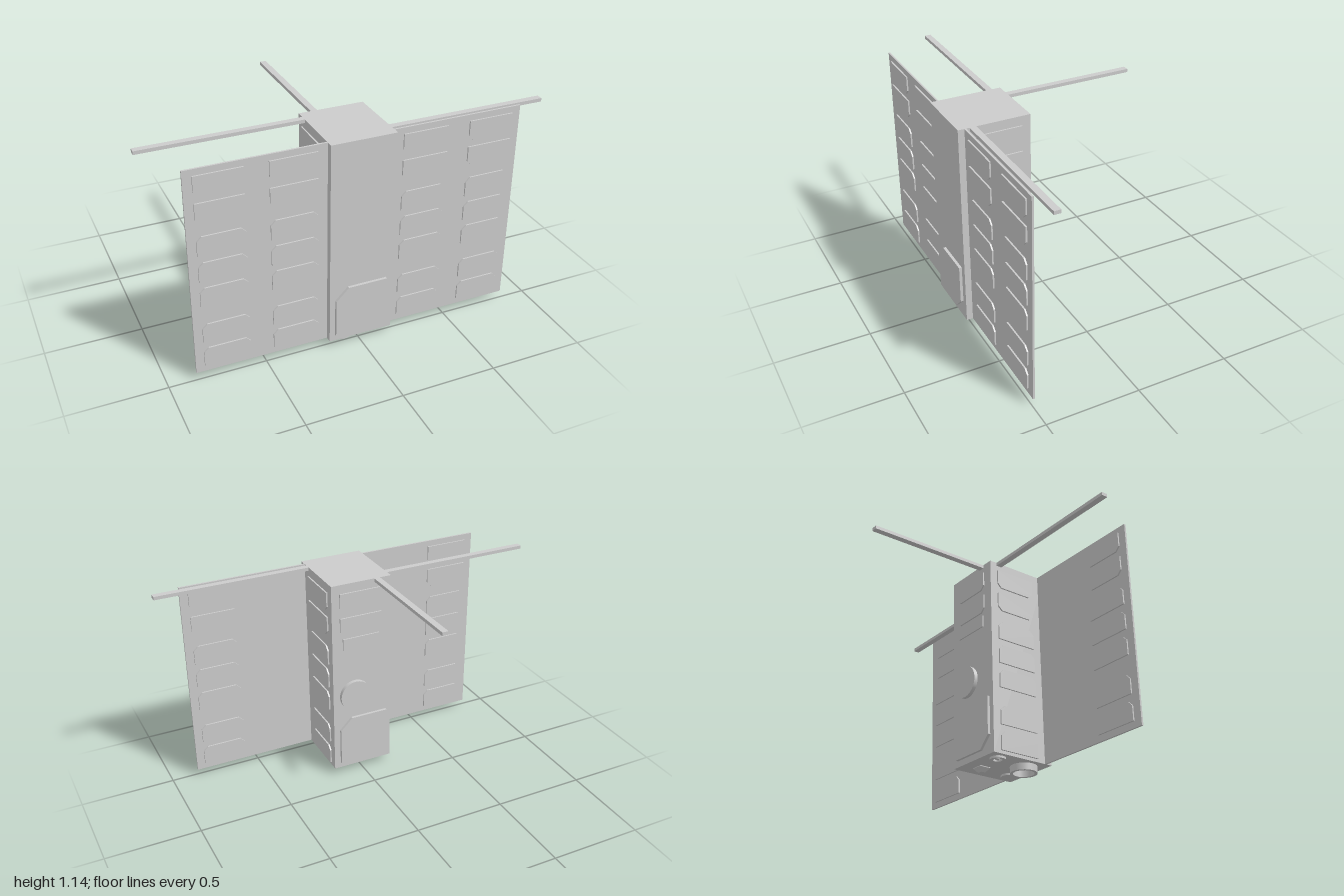
import * as THREE from 'three';

const material = new THREE.MeshStandardMaterial({ color: 0xcccccc, flatShading: true });
const smooth = new THREE.MeshStandardMaterial({ color: 0xcccccc });

function add(parent, name, geometry, x, y, z, mat = material) {
  const mesh = new THREE.Mesh(geometry, mat);
  mesh.name = name;
  mesh.position.set(x, y, z);
  parent.add(mesh);
  return mesh;
}

// Box given by its limits on each axis
function box(parent, name, [x0, x1], [y0, y1], [z0, z1]) {
  return add(parent, name, new THREE.BoxGeometry(x1 - x0, y1 - y0, z1 - z0),
    (x0 + x1) / 2, (y0 + y1) / 2, (z0 + z1) / 2);
}

// Flat plate facing +z with cut corners: top left, top right, bottom right, bottom left
function plateGeometry(w, h, depth, [tl, tr, br, bl]) {
  const a = w / 2, b = h / 2;
  const points = [[-a + bl, -b], [a - br, -b], [a, -b + br], [a, b - tr],
    [a - tr, b], [-a + tl, b], [-a, b - tl], [-a, -b + bl]];
  const corners = points
    .map(([x, y]) => new THREE.Vector2(x, y))
    .filter((p, i, all) => p.distanceTo(all[(i + 1) % 8]) > 1e-5);
  return new THREE.ExtrudeGeometry(new THREE.Shape(corners), { depth, bevelEnabled: false });
}

// Upright ring with square edges, standing from y = 0 to y = height
function ringGeometry(outer, inner, height) {
  const profile = [[inner, 0], [outer, 0], [outer, height], [inner, height], [inner, 0]];
  const points = [];
  for (let i = 0; i < 4; i++) { // doubled points keep the edges sharp
    points.push(new THREE.Vector2(...profile[i]), new THREE.Vector2(...profile[i + 1]));
  }
  return new THREE.LatheGeometry(points, 40);
}

// Solar cells: the two upper rows are cut at the bottom, the others at the top
const CELL_W = 0.238, CELL_H = 0.103, CUT = 0.024, CELL_D = 0.008;
const cutBottom = plateGeometry(CELL_W, CELL_H, CELL_D, [0, 0, CUT, CUT]);
const cutTop = plateGeometry(CELL_W, CELL_H, CELL_D, [CUT, CUT, 0, 0]);
const ROWS = [1.038, 0.9, 0.728, 0.589, 0.45, 0.245, 0.106];

function cellColumn(parent, name, x, z, turn, lift = 0, count = ROWS.length) {
  const column = new THREE.Group();
  column.name = name;
  column.position.set(x, lift, z);
  column.rotation.y = turn;
  for (let i = 0; i < count; i++) add(column, 'solarCell', i < 2 ? cutBottom : cutTop, 0, ROWS[i], 0);
  parent.add(column);
}

export function createModel() {
  const model = new THREE.Group();
  model.name = 'cubeSatellite';

  // Main body
  box(model, 'body', [-0.17, 0.17], [0.037, 1.139], [0.152, 0.529]);

  // Wings and their cells: two columns in front, the outer one also behind
  for (const [side, s] of [['left', 1], ['right', -1]]) {
    const wing = new THREE.Group();
    wing.name = side + 'Wing';
    model.add(wing);
    box(wing, 'wingPanel', s > 0 ? [0.17, 0.858] : [-0.858, -0.17], [0.037, 1.139], [0.485, 0.495]);
    cellColumn(wing, 'innerFrontCells', s * 0.338, 0.495, 0, 0.017);
    cellColumn(wing, 'outerFrontCells', s * 0.695, 0.495, 0, 0.017);
    cellColumn(wing, 'outerBackCells', s * 0.695, 0.485, Math.PI, 0.017);
    cellColumn(model, side + 'BodyCells', s * 0.17, 0.316, s * Math.PI / 2);
  }

  // Back face: two cells, a small plate and a round cover
  cellColumn(model, 'backBodyCells', 0.006, 0.152, Math.PI, 0, 2);
  box(model, 'smallBackPlate', [-0.1, 0.11], [0.764, 0.83], [0.145, 0.153]);
  const cover = add(model, 'roundCover', new THREE.CylinderGeometry(0.087, 0.087, 0.022, 48), 0.045, 0.486, 0.142, smooth);
  cover.rotation.x = Math.PI / 2;

  // Hatches with two opposite corners cut
  const hatch = plateGeometry(0.276, 0.276, 0.015, [0.067, 0, 0.067, 0]);
  add(model, 'frontHatch', hatch, -0.003, 0.209, 0.529);
  add(model, 'backHatch', hatch, -0.003, 0.209, 0.152).rotation.y = Math.PI;

  // Antennas at the top edge
  const top = [1.121, 1.139];
  box(model, 'rightAntenna', [-1, -0.17], top, [0.195, 0.228]);
  box(model, 'leftAntenna', [0.17, 1], top, [0.434, 0.468]);
  box(model, 'backAntenna', [-0.107, -0.074], top, [-0.541, 0.152]);

  // Instruments under the body
  add(model, 'lensTube', ringGeometry(0.072, 0.056, 0.038), -0.072, 0, 0.422, smooth);
  add(model, 'flatDisc', new THREE.CylinderGeometry(0.048, 0.048, 0.012, 40), 0.085, 0.032, 0.455, smooth);
  add(model, 'smallRing', ringGeometry(0.042, 0.024, 0.013), -0.105, 0.025, 0.226, smooth);
  box(model, 'sensorBlock', [-0.115, -0.095], [0.027, 0.038], [0.216, 0.236]);
  const horn = add(model, 'hornSensor',
    new THREE.CylinderGeometry(0.032 * Math.SQRT2, 0.013 * Math.SQRT2, 0.024, 4), 0.067, 0.022, 0.254);
  horn.rotation.y = Math.PI / 4;
  box(model, 'hornBase', [0.035, 0.099], [0.033, 0.038], [0.222, 0.286]);

  return model;
}
